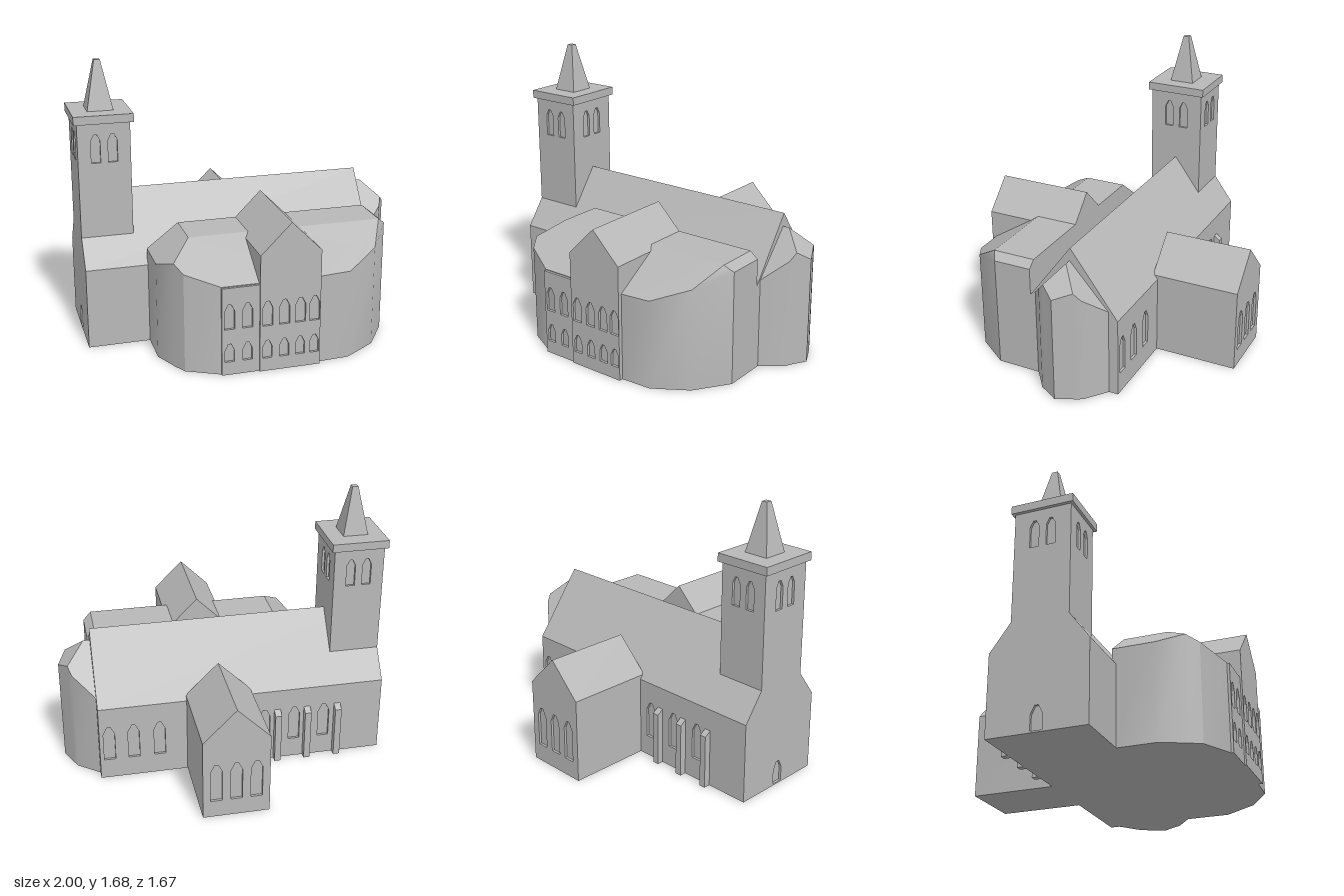
import * as THREE from 'three';
import { toCreasedNormals } from 'three/addons/utils/BufferGeometryUtils.js';

const stone = new THREE.MeshStandardMaterial({ color: 0xb8b8b8 });
stone.name = 'grey stone';

// Pointed window outline: centre c, sill y, width w, height h
function windowPath([c, y, w, h]) {
  const a = w / 2, s = w * 0.15;
  return new THREE.Path([
    [c - a, y], [c + a, y], [c + a, y + h - w * 0.7], [c + s, y + h],
    [c - s, y + h], [c - a, y + h - w * 0.7],
  ].map(p => new THREE.Vector2(...p)));
}

export function createModel() {
  const model = new THREE.Group();
  model.name = 'church';

  const add = (name, geometry) => {
    const mesh = new THREE.Mesh(geometry, stone);
    mesh.name = name;
    model.add(mesh);
    return mesh;
  };

  // Profile of [x, y] pushed along z, with optional window holes
  const alongZ = (name, profile, z0, z1, windows = []) => {
    const shape = new THREE.Shape(profile.map(p => new THREE.Vector2(...p)));
    shape.holes = windows.map(windowPath);
    const g = new THREE.ExtrudeGeometry(shape, { depth: z1 - z0, bevelEnabled: false });
    return add(name, g.translate(0, 0, z0));
  };

  // Profile of [z, y] pushed along x
  const alongX = (name, profile, x0, x1, windows = []) => {
    const shape = new THREE.Shape(profile.map(([z, y]) => new THREE.Vector2(-z, y)));
    shape.holes = windows.map(([c, ...rest]) => windowPath([-c, ...rest]));
    const g = new THREE.ExtrudeGeometry(shape, { depth: x1 - x0, bevelEnabled: false });
    return add(name, g.rotateY(Math.PI / 2).translate(x0, 0, 0));
  };

  const rect = (a, b, y0, y1) => [[a, y0], [b, y0], [b, y1], [a, y1]];
  const gable = (a, b, eave, ridge) => [[a, 0], [b, 0], [b, eave], [(a + b) / 2, ridge], [a, eave]];

  // Walls around an eave line, a floor, and extra faces, with soft bends
  const roofedWalls = (name, eave, faces) => {
    const floor = eave.map(([x, , z]) => [x, 0, z]);
    const all = [...faces, [...floor].reverse()];
    for (let i = 0; i < eave.length - 1; i++) all.push([floor[i], floor[i + 1], eave[i + 1], eave[i]]);
    const pos = [];
    for (const f of all) {
      for (let i = 1; i < f.length - 1; i++) pos.push(...f[0], ...f[i], ...f[i + 1]);
    }
    const g = new THREE.BufferGeometry();
    g.setAttribute('position', new THREE.Float32BufferAttribute(pos, 3));
    return add(name, toCreasedNormals(g, 0.55));
  };

  // Nave, with a recessed back wall behind the windowed panel
  const naveGable = [[-0.33, 0], [0.26, 0], [0.26, 0.49], [-0.035, 0.89], [-0.33, 0.49]];
  alongX('nave', [[-0.315, 0], ...naveGable.slice(1), [-0.315, 0.49]], -0.965, 0.8);
  alongX('westWall', naveGable, -0.98, -0.965, [[-0.035, 0.01, 0.07, 0.14]]);
  alongZ('naveBackWall', rect(-0.965, 0.8, 0, 0.49), -0.33, -0.315,
    [-0.61, -0.42, -0.23, 0.43, 0.59, 0.74].map(x => [x, 0.13, 0.07, 0.23]));

  // Buttresses
  for (const x of [-0.695, -0.5, -0.31]) {
    alongX('buttress', [[-0.37, 0], [-0.325, 0], [-0.325, 0.36], [-0.37, 0.33]], x - 0.02, x + 0.02);
  }

  // Back transept
  const backGable = gable(-0.14, 0.26, 0.515, 0.715);
  alongZ('backTransept', backGable, -0.825, -0.3);
  alongZ('backTranseptWall', backGable, -0.84, -0.825,
    [-0.06, 0.06, 0.18].map(x => [x, 0.11, 0.07, 0.25]));

  // Front transept
  const rows = xs => xs.flatMap(x => [[x, 0.08, 0.055, 0.11], [x, 0.28, 0.06, 0.15]]);
  const frontGable = gable(-0.09, 0.27, 0.705, 0.885);
  alongZ('frontTransept', frontGable, 0.235, 0.815);
  alongZ('frontTranseptWall', frontGable, 0.815, 0.83, rows([-0.045, 0.055, 0.15, 0.235]));

  // Rounded front hall with hipped roof
  const hallHeight = (x, z) => Math.min(0.73, 0.525 + (0.82 - z) * 0.62,
    0.585 + (x + 0.61) * 0.76, 0.69 + (0.8 - x) * 0.8);
  const hall = [[-0.61, 0.235], [-0.61, 0.49], [-0.54, 0.64], [-0.5, 0.71], [-0.31, 0.805],
    [0.27, 0.805], [0.46, 0.795], [0.66, 0.67], [0.8, 0.47], [0.8, 0.235]]
    .map(([x, z]) => [x, hallHeight(x, z), z]);
  const [r0, r1, r2, r3] = [[-0.42, 0.235], [-0.42, 0.5], [0.75, 0.5], [0.75, 0.235]]
    .map(([x, z]) => [x, 0.73, z]);
  const [a, b, c, d, e, f, g, h, i, j] = hall;
  roofedWalls('frontHall', hall, [
    [r0, r1, r2, r3], [a, b, r1, r0], [r1, b, c], [r1, c, d, e], [r1, e, f, r2],
    [r2, f, g, h], [r2, h, i], [r2, i, j, r3],
    [[-0.61, 0, 0.235], a, r0, r3, j, [0.8, 0, 0.235]],
  ]);
  alongZ('frontHallWindows', rect(-0.31, -0.09, 0, 0.53), 0.805, 0.82, rows([-0.265, -0.16]));

  // Apse at the east end
  const apse = [[0.79, 0.21], [0.93, 0.1], [0.95, 0.06], [1, -0.02], [0.95, -0.13], [0.93, -0.17], [0.79, -0.28]]
    .map(([x, z]) => [x, x === 1 ? 0.655 : 0.81 - 1.12 * Math.abs(z + 0.03), z]);
  const p0 = [0.79, 0.81, -0.03], p1 = [0.84, 0.81, -0.03];
  roofedWalls('apse', apse, [
    [p0, apse[0], apse[1], apse[2], p1], [p1, apse[2], apse[3]],
    [p1, apse[3], apse[4]], [p1, apse[4], apse[5], apse[6], p0],
  ]);

  // Tower: core, four windowed walls, cap and spire
  const tx = -0.825, tz = -0.033;
  const box = (name, w, hgt, dep, y) =>
    add(name, new THREE.BoxGeometry(w, hgt, dep).translate(tx, y + hgt / 2, tz));
  box('towerCore', 0.28, 0.84, 0.315, 0.5);
  const pair = m => [m - 0.05, m + 0.05].map(v => [v, 1.105, 0.055, 0.17]);
  for (const s of [-1, 1]) {
    const z = tz + s * 0.165, x = tx + s * 0.1475;
    alongZ('towerWall', rect(tx - 0.155, tx + 0.155, 0.5, 1.34), z - 0.0075, z + 0.0075, pair(tx));
    alongX('towerSideWall', rect(tz - 0.158, tz + 0.158, 0.5, 1.34), x - 0.0075, x + 0.0075, pair(tz));
  }
  box('towerCap', 0.35, 0.05, 0.38, 1.34);
  const spire = new THREE.CylinderGeometry(0.018 * Math.SQRT2, 0.077 * Math.SQRT2, 0.29, 4);
  add('spire', toCreasedNormals(spire.rotateY(Math.PI / 4), 0.5)).position.set(tx, 1.535, tz);

  return model;
}
